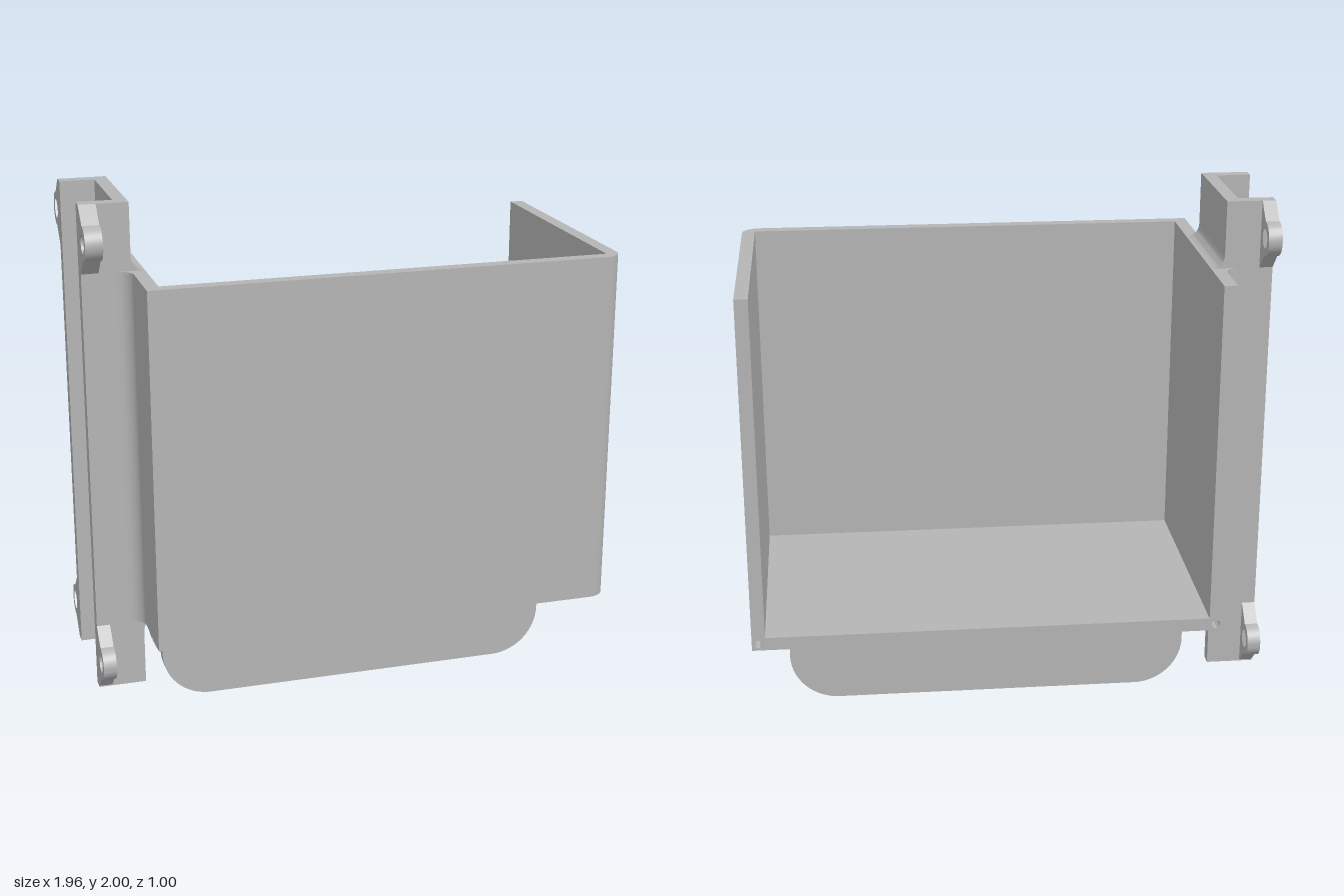
import * as THREE from 'three';
import { toCreasedNormals } from 'three/addons/utils/BufferGeometryUtils.js';

export function createModel() {
  const model = new THREE.Group();
  const grey = new THREE.MeshStandardMaterial({ color: 0xb4b4b4 });
  grey.name = 'grey plastic';

  function add(name, geometry) {
    const mesh = new THREE.Mesh(geometry, grey);
    mesh.name = name;
    model.add(mesh);
  }
  function box(name, x0, x1, y0, y1, z0, z1) {
    const g = new THREE.BoxGeometry(x1 - x0, y1 - y0, z1 - z0);
    add(name, g.translate((x0 + x1) / 2, (y0 + y1) / 2, (z0 + z1) / 2));
  }
  // Extrude a shape along one axis, from a to b.
  // Shape axes: z -> (x, y); y -> (x, -z); x -> (-z, y)
  function extrude(name, shape, axis, a, b) {
    const g = new THREE.ExtrudeGeometry(shape, { depth: b - a, bevelEnabled: false, curveSegments: 16 });
    g.translate(0, 0, a);
    if (axis === 'y') g.rotateX(-Math.PI / 2);
    if (axis === 'x') g.rotateY(Math.PI / 2);
    add(name, toCreasedNormals(g, 0.6));
  }
  const polygon = (pts) => new THREE.Shape(pts.map(([x, y]) => new THREE.Vector2(x, y)));
  const hole = (x, y, r) => new THREE.Path().absarc(x, y, r, 0, Math.PI * 2, true);
  // Concave fillet filling the corner at (cx, cy), growing toward (sx, sy)
  function fillet(cx, cy, r, sx, sy) {
    const pts = [[cx, cy]];
    for (let i = 0; i <= 12; i++) {
      const t = (i / 12) * Math.PI / 2;
      pts.push([cx + sx * r * (1 - Math.sin(t)), cy + sy * r * (1 - Math.cos(t))]);
    }
    return polygon(pts);
  }

  const L = -0.8, R = 0.98, B = 0.39, T = 1.75, W = 0.05;

  // Side walls and floor, with a screw hole in each lower back corner
  const tray = polygon([[L, B], [R, B], [R, T], [R - W, T], [R - W, B + W],
    [L + W, B + W], [L + W, T], [L, T]]);
  tray.holes.push(hole(L + W / 2, B + W / 2, 0.016), hole(R - W / 2, B + W / 2, 0.016));
  extrude('sideWallsAndFloor', tray, 'z', -0.5, 0.43);
  box('floorFrontStrip', L + W, R - W, B, B + W, 0.43, 0.45);

  // Front wall with one rounded vertical corner
  const front = new THREE.Shape();
  front.moveTo(L, -0.43);
  front.lineTo(L, -0.5);
  front.lineTo(R - 0.07, -0.5);
  front.absarc(R - 0.07, -0.43, 0.07, -Math.PI / 2, 0, false);
  front.lineTo(R - W, -0.43);
  front.lineTo(R - W, -0.45);
  front.lineTo(L + W, -0.45);
  front.lineTo(L + W, -0.43);
  extrude('frontWall', front, 'y', B, T);

  // Mounting channel on the side: web, two arms and blending fillets
  const zBack = -0.265, zFront = 0.21;
  box('channelWeb', L - W, L, B, 2, zBack + W, zFront - W);
  box('channelFrontArm', -0.98, L, 0.13, 2, zFront - W, zFront);
  box('channelBackArm', -0.98, L, 0.13, 2, zBack, zBack + W);
  extrude('channelFrontFillet', fillet(L, -zFront, 0.055, -1, -1), 'y', B, T);
  extrude('channelBackFillet', fillet(L, -zBack, 0.055, -1, 1), 'y', B, T);
  extrude('channelTopFillet', fillet(L, T, 0.05, 1, 1), 'z', zBack, zFront);
  for (const z of [zBack, zFront - W]) {
    extrude('armLowerFillet', fillet(L, B, 0.05, 1, -1), 'z', z, z + W);
  }

  // Screw ears at the top and bottom of both arms
  for (const y of [1.875, 0.26]) {
    for (const [z, s] of [[zFront, -1], [zBack, 1]]) {
      const c = -z + s * 0.064, r = 0.063;
      const pts = [[-z, y + 0.125]];
      for (let i = 0; i <= 20; i++) {
        const t = Math.PI / 2 - (i / 20) * Math.PI;
        pts.push([c + s * r * Math.cos(t), y + r * Math.sin(t)]);
      }
      pts.push([-z, y - 0.125]);
      const ear = polygon(pts);
      ear.holes.push(hole(c, y, 0.035));
      const thick = y > 1 && z > 0 ? 0.063 : 0.05;
      extrude('screwEar', ear, 'x', -0.98, -0.98 + thick);
    }
  }

  // Two hanging fins with rounded lower corners and flared roots
  const x0 = -0.715, x1 = 0.85, r = 0.19, f = 0.06;
  const fin = new THREE.Shape();
  fin.moveTo(x0 - f, B);
  fin.absarc(x0 - f, B - f, f, Math.PI / 2, 0, true);
  fin.lineTo(x0, r);
  fin.absarc(x0 + r, r, r, Math.PI, Math.PI * 1.5, false);
  fin.lineTo(x1 - r, 0);
  fin.absarc(x1 - r, r, r, -Math.PI / 2, 0, false);
  fin.lineTo(x1, B - f);
  fin.absarc(x1 + f, B - f, f, Math.PI, Math.PI / 2, true);
  extrude('frontFin', fin, 'z', 0.08, 0.12);
  extrude('backFin', fin, 'z', -0.165, -0.125);
  extrude('frontFinFillet', fillet(-0.12, B, 0.048, -1, -1), 'x', x0, x1);
  extrude('backFinFillet', fillet(0.165, B, 0.048, 1, -1), 'x', x0, x1);

  return model;
}
